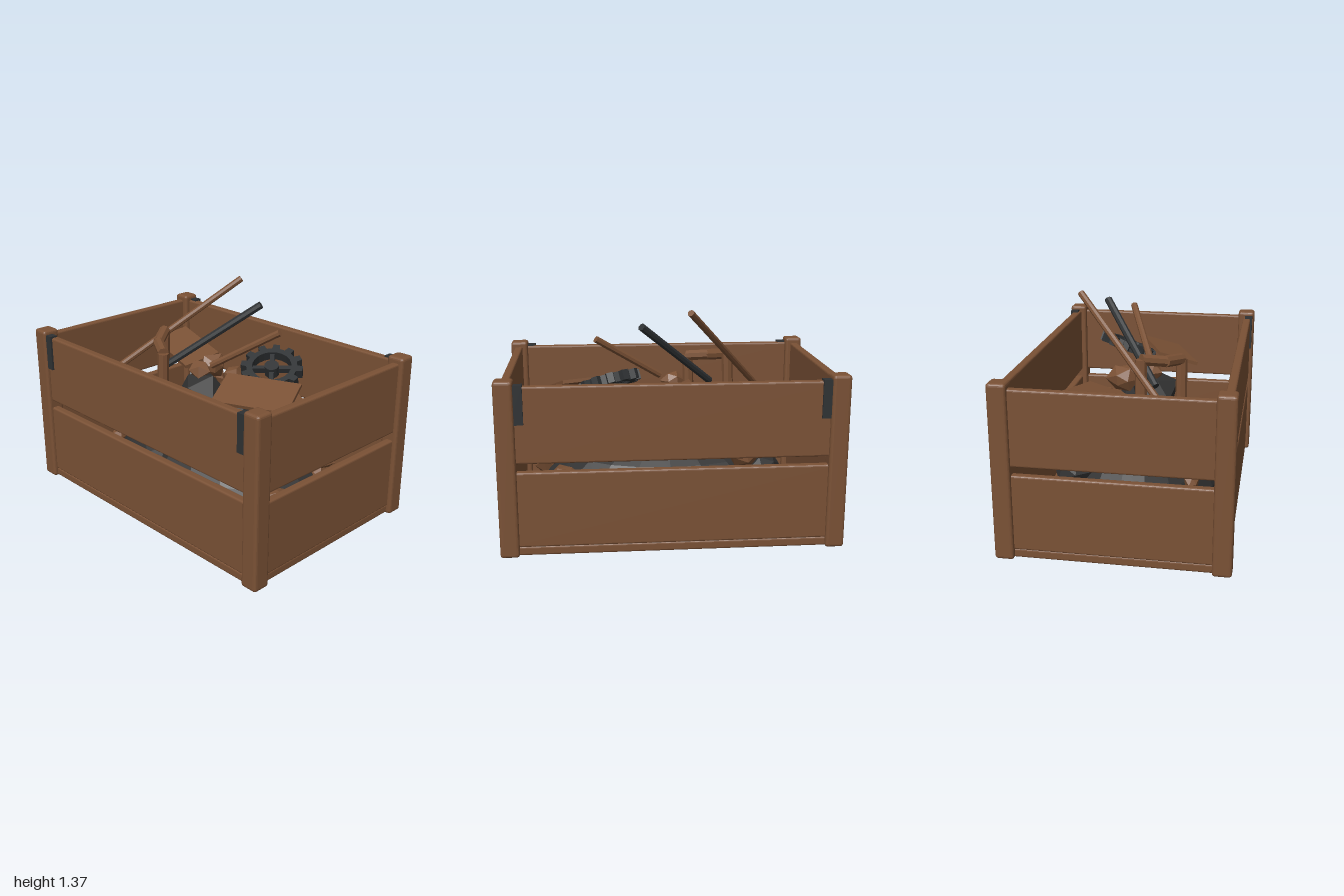
import * as THREE from 'three';
import { RoundedBoxGeometry } from 'three/addons/geometries/RoundedBoxGeometry.js';

const V = (x, y, z) => new THREE.Vector3(x, y, z);
const material = (name, color, flatShading = false) => {
  const m = new THREE.MeshStandardMaterial({ color, flatShading });
  m.name = name;
  return m;
};

export function createModel() {
  const model = new THREE.Group();
  model.name = 'scrapCrate';
  const wood = material('wood', 0x7a5135, true);
  const coal = material('coal', 0x313131, true);
  const iron = material('iron', 0x2e3133, true);

  const add = (name, geometry, mat, parent = model) => {
    const mesh = new THREE.Mesh(geometry, mat);
    mesh.name = name;
    parent.add(mesh);
    return mesh;
  };
  // box given by its lower and upper limits on each axis
  const box = (name, mat, x0, x1, y0, y1, z0, z1, bevel = 0.012) => {
    const w = x1 - x0, h = y1 - y0, d = z1 - z0;
    const g = bevel ? new RoundedBoxGeometry(w, h, d, 2, bevel) : new THREE.BoxGeometry(w, h, d);
    return add(name, g, mat).position.set((x0 + x1) / 2, (y0 + y1) / 2, (z0 + z1) / 2);
  };

  // crate: floor, slats, corner posts and iron brackets
  box('floor', wood, -0.97, 0.97, 0.005, 0.06, -0.64, 0.64);
  for (const [y0, y1] of [[0.055, 0.505], [0.555, 1.0]]) {
    for (const s of [-1, 1]) {
      box('longSlat', wood, -0.93, 0.93, y0, y1, s * 0.615 - 0.026, s * 0.615 + 0.026);
      box('endSlat', wood, s * 0.95 - 0.025, s * 0.95 + 0.025, y0, y1, -0.6, 0.6);
    }
  }
  for (const sx of [-1, 1]) {
    for (const sz of [-1, 1]) {
      const x = sx * 0.945, z = sz * 0.61;
      box('cornerPost', wood, x - 0.055, x + 0.055, 0, 1.035, z - 0.055, z + 0.055, 0.018);
      box('bracket', iron, sx * 0.88 - 0.04, sx * 0.88 + 0.04, 0.785, 1.01, sz * 0.628 - 0.025, sz * 0.628 + 0.025, 0);
    }
  }

  // faceted mound filling the lower half
  const mound = new THREE.SphereGeometry(1, 20, 6, 0, Math.PI * 2, 0, Math.PI / 2);
  mound.scale(0.85, 0.52, 0.535);
  add('mound', mound, coal).position.y = 0.06;

  // irregular lumps: the corners of an icosahedron pushed in and out by a rule
  const lump = (name, mat, [x, y, z, rx, ry, rz, turn], seed) => {
    const g = new THREE.IcosahedronGeometry(1, 0);
    const p = g.attributes.position;
    for (let i = 0; i < p.count; i++) {
      const v = V().fromBufferAttribute(p, i);
      const k = 0.93 + 0.2 * Math.sin(5.1 * v.x + 7.3 * v.y + 3.7 * v.z + seed * 2.4);
      p.setXYZ(i, v.x * k * rx, v.y * k * ry, v.z * k * rz);
    }
    g.computeVertexNormals();
    const mesh = add(name, g, mat);
    mesh.position.set(x, y, z);
    mesh.rotation.y = turn;
  };
  // x, y, z, radii, turn
  [
    [-0.04, 0.7, 0.1, 0.18, 0.16, 0.16, 0.3], [0.1, 0.56, 0.23, 0.13, 0.1, 0.1, 0.8],
    [-0.1, 0.36, 0.43, 0.15, 0.1, 0.09, 0.1], [-0.38, 0.38, -0.44, 0.14, 0.09, 0.08, 0.2],
    [-0.58, 0.4, -0.32, 0.14, 0.1, 0.1, 0.9], [0.09, 0.42, 0.35, 0.07, 0.07, 0.08, 0.6],
    [-0.23, 0.42, 0.37, 0.07, 0.06, 0.07, 0.4], [-0.24, 0.64, -0.1, 0.13, 0.12, 0.12, 1.2],
    [-0.35, 0.52, 0.14, 0.14, 0.1, 0.12, 0.5], [0.16, 0.62, -0.04, 0.15, 0.13, 0.13, 1.7],
    [0.45, 0.46, 0.03, 0.13, 0.1, 0.12, 0.2], [-0.02, 0.6, -0.2, 0.14, 0.11, 0.11, 0.7],
  ].forEach((a, i) => lump('coalLump', coal, a, i));
  [
    [0.63, 0.36, -0.31, 0.11, 0.09, 0.1, 0.4], [0.69, 0.3, -0.2, 0.06, 0.07, 0.07, 0.2],
    [0.73, 0.28, 0.22, 0.09, 0.1, 0.15, -0.4], [0.11, 0.2, 0.51, 0.13, 0.09, 0.1, 0.2],
    [0.17, 0.46, 0.38, 0.05, 0.07, 0.06, 0.9], [-0.53, 0.34, 0.39, 0.06, 0.06, 0.05, 0.3],
    [-0.05, 0.86, 0.08, 0.08, 0.07, 0.07, 0.6], [-0.12, 0.82, -0.09, 0.1, 0.08, 0.09, 1.1],
    [0.05, 0.8, -0.1, 0.08, 0.07, 0.08, 0.1], [-0.45, 0.49, -0.35, 0.13, 0.08, 0.06, 0.4],
    [-0.58, 0.46, -0.02, 0.08, 0.07, 0.06, 0.2], [0.34, 0.5, 0.36, 0.08, 0.06, 0.09, 0.7],
    [-0.18, 0.72, -0.2, 0.11, 0.05, 0.05, -0.7],
  ].forEach((a, i) => lump('woodLump', wood, a, i + 3));

  // thin boards, from a centre and two edge vectors
  const board = (center, u, v) => {
    const mesh = add('board', new THREE.BoxGeometry(u.length(), 0.022, v.length()), wood);
    const ex = u.clone().normalize();
    const ey = v.clone().cross(u).normalize();
    const ez = ex.clone().cross(ey);
    mesh.quaternion.setFromRotationMatrix(new THREE.Matrix4().makeBasis(ex, ey, ez));
    mesh.position.copy(center);
  };
  board(V(-0.5, 0.83, -0.2), V(0.44, -0.06, 0.1), V(-0.07, -0.05, 0.24));
  board(V(0.18, 0.62, -0.33), V(0.24, -0.02, 0.13), V(-0.2, 0.03, 0.33));
  board(V(0.47, 0.855, 0.12), V(0.43, 0, -0.18), V(0.1, -0.085, 0.235));

  // round rods leaning out of the pile
  const rod = (name, mat, a, b, r) => {
    const d = b.clone().sub(a);
    const mesh = add(name, new THREE.CylinderGeometry(r, r, d.length(), 8), mat);
    mesh.position.copy(a).addScaledVector(d, 0.5);
    mesh.quaternion.setFromUnitVectors(V(0, 1, 0), d.normalize());
  };
  rod('woodRod', wood, V(-0.69, 0.71, 0.34), V(-0.12, 1.35, -0.345), 0.021);
  rod('ironRod', iron, V(-0.3, 0.84, 0.14), V(0.16, 1.255, -0.235), 0.024);
  rod('woodRod', wood, V(0.03, 0.9, 0.06), V(0.43, 1.165, -0.115), 0.022);

  // bent strip standing on the pile, from straight pieces
  const bend = [V(-0.41, 0.78, 0.07), V(-0.4, 1.03, 0.07), V(-0.31, 1.0, 0.2), V(-0.17, 0.98, 0.28), V(-0.18, 0.73, 0.28)];
  for (let i = 0; i < bend.length - 1; i++) rod('bentStrip', wood, bend[i], bend[i + 1], 0.035);

  // toothed wheel with hub and spokes
  const gear = new THREE.Group();
  gear.name = 'gear';
  const teeth = 12, outline = [];
  for (let i = 0; i < teeth; i++) {
    for (const [f, r] of [[0, 0.155], [0.4, 0.155], [0.5, 0.19], [0.9, 0.19]]) {
      const a = ((i + f) / teeth) * Math.PI * 2;
      outline.push(new THREE.Vector2(Math.cos(a) * r, Math.sin(a) * r));
    }
  }
  const rim = new THREE.Shape(outline);
  rim.holes.push(new THREE.Path().absarc(0, 0, 0.12, 0, Math.PI * 2, true));
  const rimGeometry = new THREE.ExtrudeGeometry(rim, { depth: 0.06, bevelEnabled: false, curveSegments: 10 });
  rimGeometry.translate(0, 0, -0.03);
  add('gearRim', rimGeometry, iron, gear);
  add('gearHub', new THREE.CylinderGeometry(0.045, 0.045, 0.07, 10).rotateX(Math.PI / 2), iron, gear);
  for (let i = 0; i < 2; i++) {
    add('gearSpokes', new THREE.BoxGeometry(0.26, 0.028, 0.035), iron, gear).rotation.z = 0.5 + i * Math.PI / 2;
  }
  gear.position.set(0.35, 0.908, -0.14);
  gear.quaternion.setFromUnitVectors(V(0, 0, 1), V(0.23, 0.913, 0.33).normalize());
  model.add(gear);

  return model;
}
